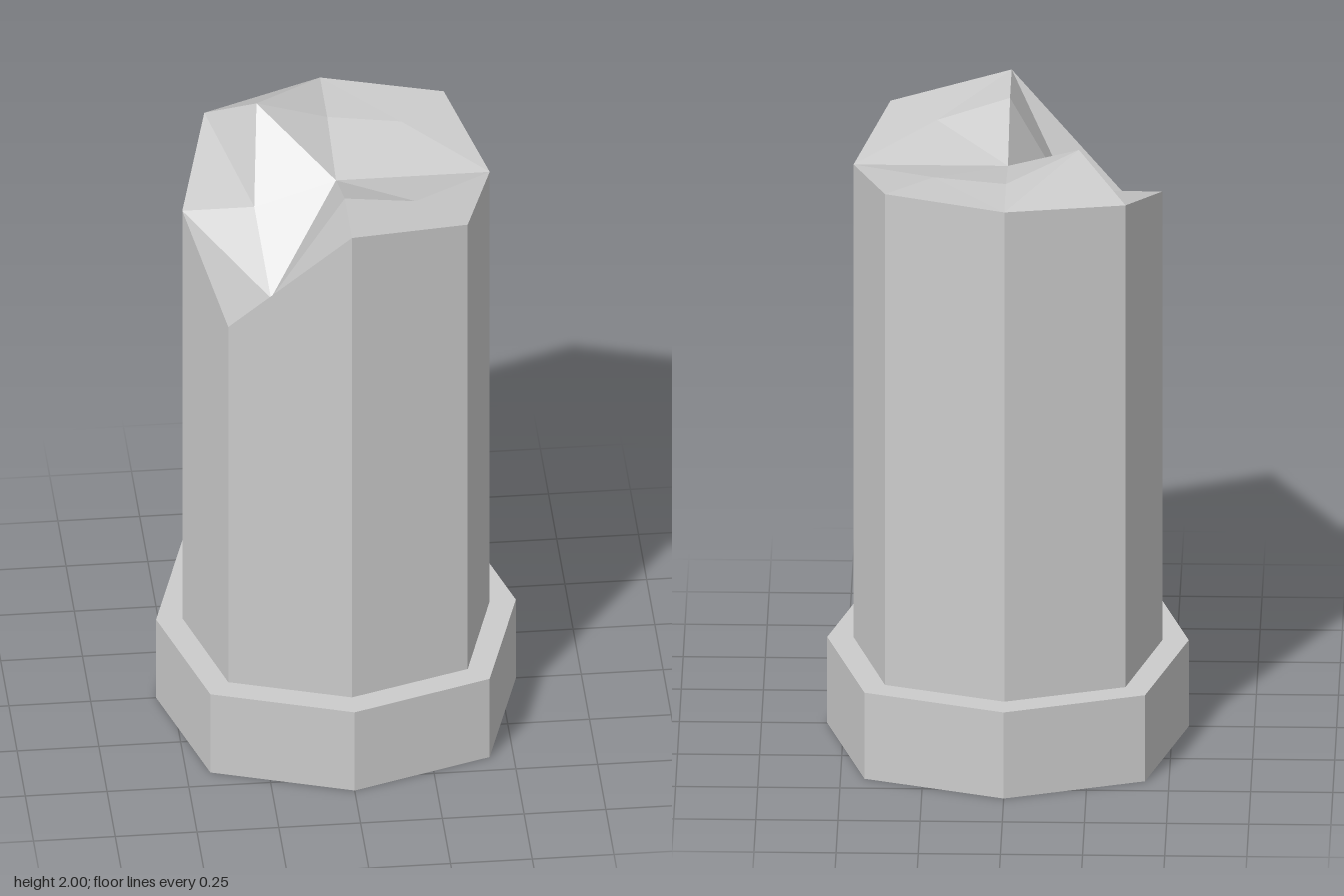
import * as THREE from 'three';

const SIDES = 8;

// Octagon corners, counter-clockwise from the front (+z); diagonal corners sit at (d, d)
function octagon(rx, rz, d, heights) {
  return Array.from({ length: SIDES }, (_, k) => {
    const a = (k * Math.PI) / 4;
    const s = Math.sin(a), c = Math.cos(a);
    const y = Array.isArray(heights) ? heights[k] : heights;
    return k % 2
      ? new THREE.Vector3(Math.sign(s) * d, y, Math.sign(c) * d)
      : new THREE.Vector3(s * rx, y, c * rz);
  });
}

// Walls between two rings of corners
function walls(lower, upper) {
  const tris = [];
  for (let k = 0; k < SIDES; k++) {
    const n = (k + 1) % SIDES;
    tris.push(lower[k], lower[n], upper[n], lower[k], upper[n], upper[k]);
  }
  return tris;
}

// Fan of triangles from a centre point to a ring
function fan(ring, y, faceUp) {
  const centre = new THREE.Vector3(0, y, 0);
  return ring.flatMap((p, k) => {
    const q = ring[(k + 1) % SIDES];
    return faceUp ? [centre, p, q] : [centre, q, p];
  });
}

function facetedMesh(name, points) {
  const geometry = new THREE.BufferGeometry().setFromPoints(points);
  geometry.computeVertexNormals();
  const material = new THREE.MeshStandardMaterial({ color: 0xcccccc, flatShading: true });
  const mesh = new THREE.Mesh(geometry, material);
  mesh.name = name;
  return mesh;
}

export function createModel() {
  const group = new THREE.Group();
  group.name = 'brokenColumn';

  // Base slab
  const baseHeight = 0.285;
  const baseLow = octagon(0.55, 0.57, 0.427, 0);
  const baseHigh = octagon(0.55, 0.57, 0.427, baseHeight);
  group.add(facetedMesh('base', [
    ...walls(baseLow, baseHigh),
    ...fan(baseLow, 0, false),
    ...fan(baseHigh, baseHeight, true),
  ]));

  // Shaft with an uneven rim
  const rimHeights = [1.96, 1.905, 1.85, 1.91, 1.905, 1.88, 1.77, 1.58];
  const foot = octagon(0.47, 0.487, 0.366, baseHeight);
  const rim = octagon(0.47, 0.487, 0.366, rimHeights);
  group.add(facetedMesh('shaft', walls(foot, rim)));

  // Broken top: jagged band from the rim to an inner ring, then a fan to the centre
  const innerHeights = [1.96, 1.905, 1.85, 1.905, 1.905, 2.0, 1.77, 1.58];
  const inner = octagon(0.25, 0.268, 0.221, innerHeights);
  const broken = fan(inner, 1.85, true);
  for (let k = 0; k < SIDES; k++) {
    const n = (k + 1) % SIDES;
    if (k % 2 === 0 || k === 5) {
      broken.push(rim[k], rim[n], inner[n], rim[k], inner[n], inner[k]);
    } else {
      broken.push(rim[k], rim[n], inner[k], rim[n], inner[n], inner[k]);
    }
  }
  group.add(facetedMesh('brokenTop', broken));

  return group;
}
